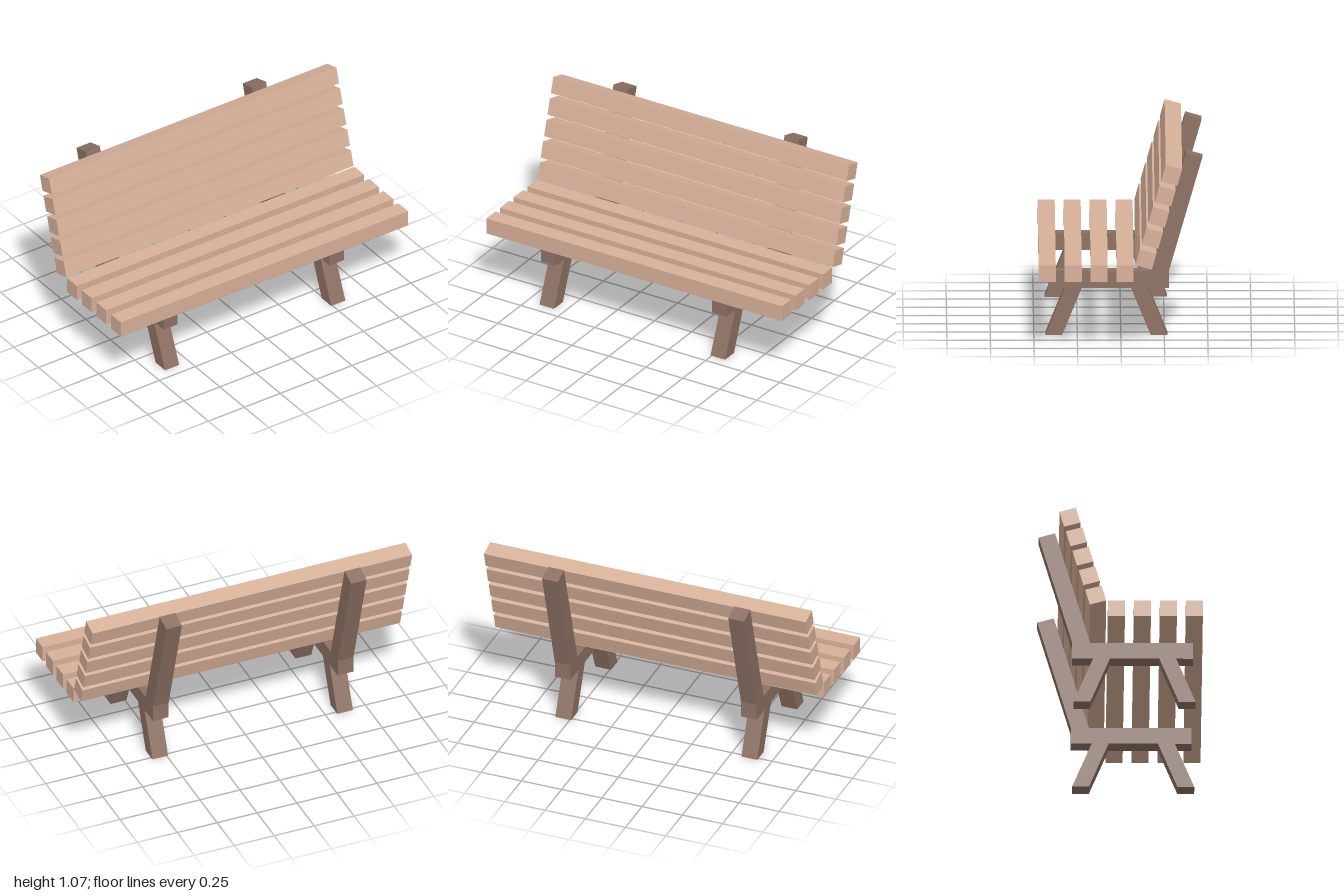
import * as THREE from 'three';

const T = 0.098; // timber thickness

export function createModel() {
  const bench = new THREE.Group();
  bench.name = 'bench';
  const slatMaterial = new THREE.MeshStandardMaterial({ color: 0xd7b199 });
  const frameMaterial = new THREE.MeshStandardMaterial({ color: 0x8d7163 });

  // Side frame: legs, seat beam and back post in one outline, as [z, y]
  const outline = [
    [0.434, 0], [0.322, 0.274], [0.418, 0.274], [0.418, 0.373],
    [-0.172, 0.373], [-0.374, 1.067], [-0.469, 1.04], [-0.276, 0.373],
    [-0.276, 0.274], [-0.156, 0.274], [-0.269, 0], [-0.172, 0],
    [-0.059, 0.274], [0.225, 0.274], [0.337, 0],
  ].map(([z, y]) => new THREE.Vector2(z, y));
  const frameGeometry = new THREE.ExtrudeGeometry(new THREE.Shape(outline), { depth: T, bevelEnabled: false });
  frameGeometry.translate(0, 0, -T / 2);
  frameGeometry.rotateY(-Math.PI / 2);

  for (const [name, x] of [['rightFrame', -0.616], ['leftFrame', 0.541]]) {
    const frame = new THREE.Mesh(frameGeometry, frameMaterial);
    frame.name = name;
    frame.position.x = x;
    bench.add(frame);
  }

  // Full-width slats
  const slatGeometry = new THREE.BoxGeometry(2, T, T);
  const addSlat = (name, y, z, tilt = 0) => {
    const slat = new THREE.Mesh(slatGeometry, slatMaterial);
    slat.name = name;
    slat.position.set(0, y, z);
    slat.rotation.x = tilt;
    bench.add(slat);
  };

  // Seat: four level slats
  for (let i = 0; i < 4; i++) addSlat(`seatSlat${i + 1}`, 0.437, 0.424 - i * 0.1493);

  // Backrest: five slats leaning back
  for (let i = 0; i < 5; i++) addSlat(`backSlat${i + 1}`, 0.52 + i * 0.1233, -0.143 - i * 0.037, -0.272);

  return bench;
}
